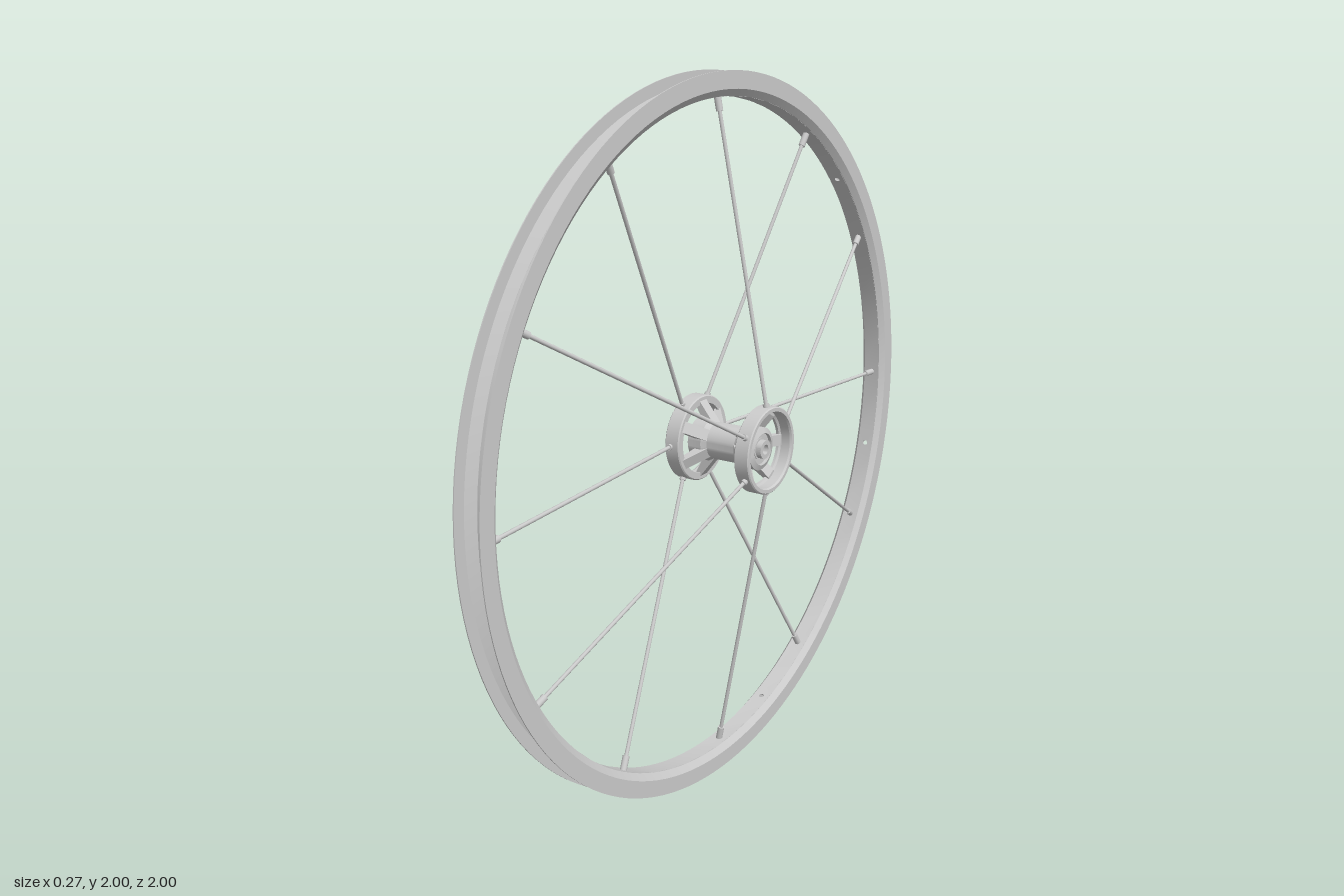
import * as THREE from 'three';
import { mergeGeometries, toCreasedNormals } from 'three/addons/utils/BufferGeometryUtils.js';

const grey = new THREE.MeshStandardMaterial({ color: 0xcccccc });
const RIM_X = -0.04; // the rim sits off-centre from the hub
const RIM_IN = 0.935;

function part(parent, name, geometry) {
  const mesh = new THREE.Mesh(geometry, grey);
  mesh.name = name;
  parent.add(mesh);
  return mesh;
}

// Closed [radius, x] profile turned about the x axis
function turned(profile, segments) {
  const points = [...profile, profile[0]].map(([r, x]) => new THREE.Vector2(r, x));
  const geo = new THREE.LatheGeometry(points, segments).rotateZ(-Math.PI / 2);
  return toCreasedNormals(geo, 0.4);
}

const mirrored = (profile) => profile.map(([r, x]) => [r, -x]).reverse();

// Round bar between two [x, y] points in the local xy plane
function bar(a, b, radius, sides = 10) {
  const start = new THREE.Vector3(a[0], a[1], 0);
  const dir = new THREE.Vector3(b[0], b[1], 0).sub(start);
  const geo = new THREE.CylinderGeometry(radius, radius, dir.length(), sides);
  geo.applyQuaternion(new THREE.Quaternion().setFromUnitVectors(
    new THREE.Vector3(0, 1, 0), dir.clone().normalize()));
  const mid = start.addScaledVector(dir, 0.5);
  return geo.translate(mid.x, mid.y, 0);
}

// Rim floor: short plates bent round the circle, some drilled
function rimFloor() {
  const count = 72, half = Math.PI / count, width = 0.0245;
  const plates = [];
  for (let i = 0; i < count; i++) {
    const shape = new THREE.Shape([
      new THREE.Vector2(-half, -width), new THREE.Vector2(half, -width),
      new THREE.Vector2(half, width), new THREE.Vector2(-half, width),
    ]);
    const holeRadius = i % 6 === 0 ? 0.006 : i % 12 === 3 ? 0.008 : 0;
    if (holeRadius) shape.holes.push(new THREE.Path().absarc(0, 0, holeRadius, 0, Math.PI * 2, true));
    const geo = new THREE.ExtrudeGeometry(shape, { depth: 0.005, bevelEnabled: false, curveSegments: 14 });
    const p = geo.attributes.position;
    for (let k = 0; k < p.count; k++) {
      const angle = p.getX(k) + i * 2 * half;
      const r = RIM_IN + p.getZ(k);
      p.setXYZ(k, p.getY(k), r * Math.cos(angle), r * Math.sin(angle));
    }
    plates.push(geo);
  }
  return toCreasedNormals(mergeGeometries(plates), 0.4);
}

function createRim() {
  const rim = new THREE.Group();
  rim.name = 'rim';
  rim.position.x = RIM_X;
  const flange = [
    [1, 0.037], [1, 0.04], [0.953, 0.04], [RIM_IN, 0.026],
    [RIM_IN, 0.024], [0.94, 0.024], [0.968, 0.037],
  ];
  part(rim, 'rimFlangeLeft', turned(flange, 144));
  part(rim, 'rimFlangeRight', turned(mirrored(flange), 144));
  part(rim, 'rimFloor', rimFloor());
  return rim;
}

function createHub() {
  const hub = new THREE.Group();
  hub.name = 'hub';

  // Barrel with wider bearing seats at both ends
  part(hub, 'hubBarrel', turned([
    [0.045, -0.108], [0.06, -0.102], [0.06, -0.06], [0.052, -0.045],
    [0.052, 0.045], [0.06, 0.06], [0.06, 0.102], [0.045, 0.108],
    [0.045, 0.098], [0.03, 0.098], [0.03, -0.098], [0.045, -0.098],
  ], 40));
  part(hub, 'axle', turned([
    [0.026, -0.116], [0.026, -0.1], [0.031, -0.1], [0.031, 0.1],
    [0.026, 0.1], [0.026, 0.116], [0.014, 0.116], [0.014, -0.116],
  ], 32));

  // Spoke ring carried by sloping arms, one at each end
  const ring = [
    [0.119, 0.09], [0.122, 0.093], [0.122, 0.133], [0.119, 0.136],
    [0.109, 0.136], [0.106, 0.13], [0.106, 0.102], [0.1, 0.098], [0.1, 0.09],
  ];
  const armShape = new THREE.Shape([
    new THREE.Vector2(0.04, 0.046), new THREE.Vector2(0.075, 0.046),
    new THREE.Vector2(0.104, 0.098), new THREE.Vector2(0.104, 0.11),
    new THREE.Vector2(0.092, 0.112),
  ]);
  const armWidth = 0.032;
  for (const side of [1, -1]) {
    const flange = new THREE.Group();
    flange.name = side > 0 ? 'hubFlangeLeft' : 'hubFlangeRight';
    part(flange, 'spokeRing', turned(side > 0 ? ring : mirrored(ring), 48));
    for (let i = 0; i < 6; i++) {
      const geo = new THREE.ExtrudeGeometry(armShape, { depth: armWidth, bevelEnabled: false });
      geo.translate(0, 0, -armWidth / 2);
      if (side < 0) geo.rotateY(Math.PI);
      const arm = part(flange, 'flangeArm', geo);
      // arms stand between this side's spokes
      arm.rotation.x = (i + (side > 0 ? 0.5 : 0)) * Math.PI / 3;
    }
    hub.add(flange);
  }
  return hub;
}

// Twelve radial spokes, alternating between the two flanges
function createSpokes() {
  const spokes = new THREE.Group();
  spokes.name = 'spokes';
  for (let i = 0; i < 12; i++) {
    const side = i % 2 === 0 ? 1 : -1;
    const foot = new THREE.Vector2(side * 0.119, 0.112);
    const tip = new THREE.Vector2(RIM_X, 0.938);
    const along = (t) => foot.clone().lerp(tip, t).toArray();
    const spoke = new THREE.Group();
    spoke.name = 'spoke';
    part(spoke, 'spokeRod', bar(along(0), along(0.99), 0.0055));
    part(spoke, 'spokeNipple', bar(along(0.95), along(0.997), 0.0095, 12));
    part(spoke, 'spokeHead', bar(along(0), along(0.022), 0.009, 12));
    spoke.rotation.x = i * Math.PI / 6;
    spokes.add(spoke);
  }
  return spokes;
}

export function createModel() {
  const wheel = new THREE.Group();
  wheel.name = 'wheel';
  wheel.add(createRim(), createHub(), createSpokes());
  wheel.position.y = 1;
  const model = new THREE.Group();
  model.name = 'spokedWheel';
  model.add(wheel);
  return model;
}
